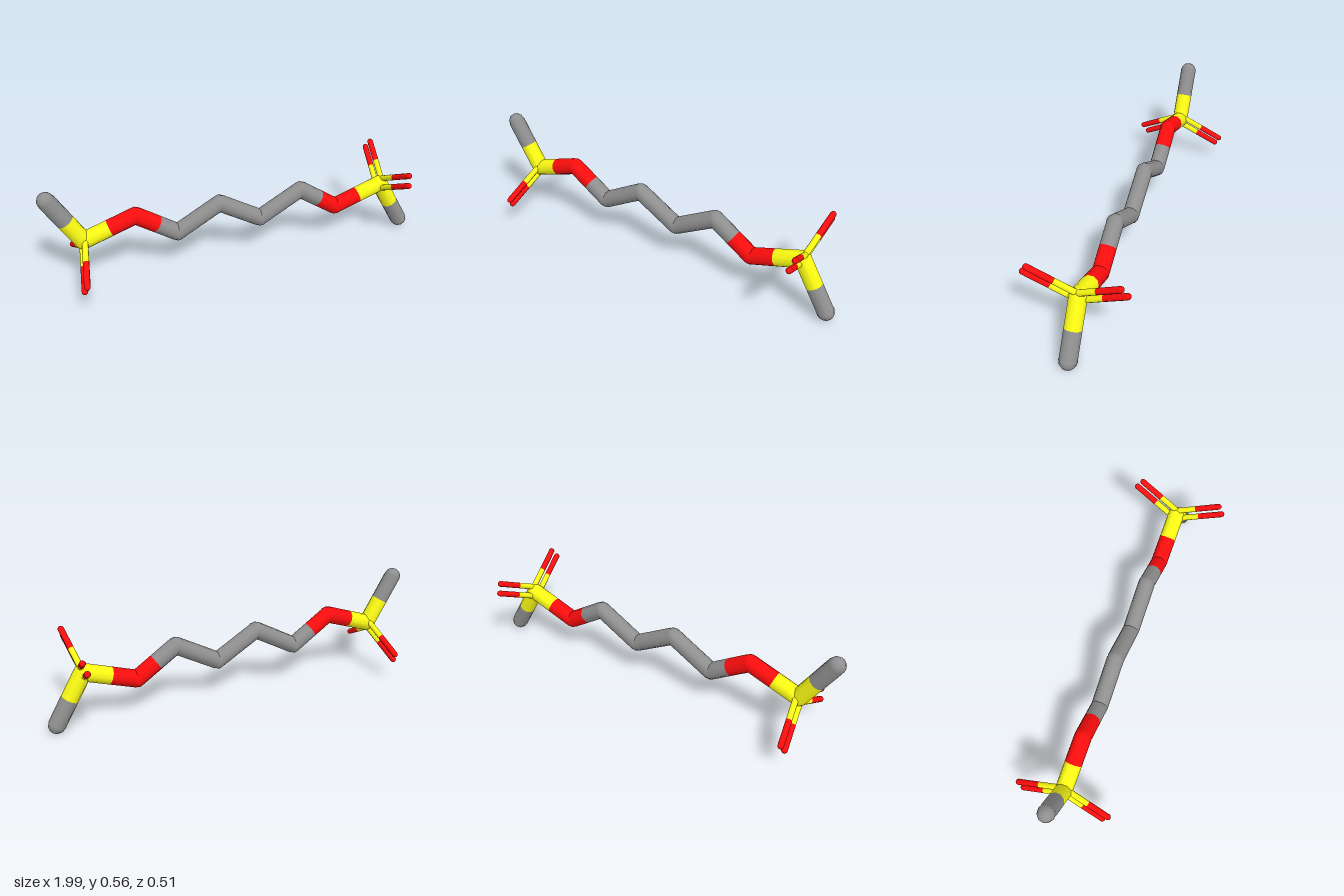
import * as THREE from 'three';

const material = (color) => new THREE.MeshStandardMaterial({ color });

export function createModel() {
  const model = new THREE.Group();
  model.name = 'stickMolecule';
  const mats = { C: material(0x909090), O: material(0xff0d0d), S: material(0xffff14) };
  const R = 0.044, THIN = 0.0155, SIDES = 10;
  const UP = new THREE.Vector3(0, 1, 0);
  const v = (x, y, z = 0) => new THREE.Vector3(x, y, z);

  // Open cylinder between two points
  function rod(parent, name, a, b, r, mat) {
    const dir = b.clone().sub(a);
    const mesh = new THREE.Mesh(new THREE.CylinderGeometry(r, r, dir.length(), SIDES, 1, true), mat);
    mesh.position.copy(a).add(b).multiplyScalar(0.5);
    mesh.quaternion.setFromUnitVectors(UP, dir.normalize());
    mesh.name = name;
    parent.add(mesh);
  }

  // Round joint or end cap, aligned with its stick
  function cap(parent, name, p, dir, r, mat) {
    const mesh = new THREE.Mesh(new THREE.SphereGeometry(r, SIDES, 6), mat);
    mesh.position.copy(p);
    mesh.quaternion.setFromUnitVectors(UP, dir.clone().normalize());
    mesh.name = name;
    parent.add(mesh);
  }

  // Stick coloured half by each of its two atoms
  function bond(parent, name, a, b, r, matA, matB) {
    const mid = a.clone().lerp(b, 0.5);
    rod(parent, name + 'Start', a, mid, r, matA);
    rod(parent, name + 'End', mid, b, r, matB);
  }

  // Half of the zigzag; the other half is its point reflection
  const half = [['C', 0.11, 0.216], ['C', 0.335, 0.344], ['O', 0.543, 0.204],
    ['S', 0.806, 0.296], ['C', 0.953, 0.044]];
  const right = half.map(([e, x, y]) => ({ e, p: v(x, y) }));
  const left = half.map(([e, x, y]) => ({ e, p: v(-x, 0.562 - y) })).reverse();
  const chain = [...left, ...right];

  // Main chain
  const backbone = new THREE.Group();
  backbone.name = 'backbone';
  model.add(backbone);
  chain.forEach((atom, i) => {
    const next = chain[i + 1], prev = chain[i - 1];
    const dir = next ? next.p.clone().sub(atom.p) : atom.p.clone().sub(prev.p);
    cap(backbone, 'joint' + i, atom.p, dir, R, mats[atom.e]);
    if (next) bond(backbone, 'bond' + i, atom.p, next.p, R, mats[atom.e], mats[next.e]);
  });

  // Paired thin sticks on each yellow joint
  chain.filter((a) => a.e === 'S').forEach(({ p }) => {
    const s = Math.sign(p.x);
    const m = v(0.27 * s, 0.963 * s);
    for (const side of [1, -1]) {
      const group = new THREE.Group();
      group.name = (s > 0 ? 'left' : 'right') + (side > 0 ? 'Front' : 'Back') + 'DoubleBond';
      model.add(group);
      const dir = m.clone().multiplyScalar(0.131).add(v(0, 0, 0.2265 * side));
      const shift = m.clone().multiplyScalar(0.0222).add(v(0, 0, -0.0128 * side));
      for (const k of [1, -1]) {
        const a = p.clone().addScaledVector(shift, k), b = a.clone().add(dir);
        bond(group, 'thinStick', a, b, THIN, mats.S, mats.O);
        cap(group, 'innerCap', a, dir, THIN, mats.S);
        cap(group, 'outerCap', b, dir, THIN, mats.O);
      }
    }
  });
  return model;
}
